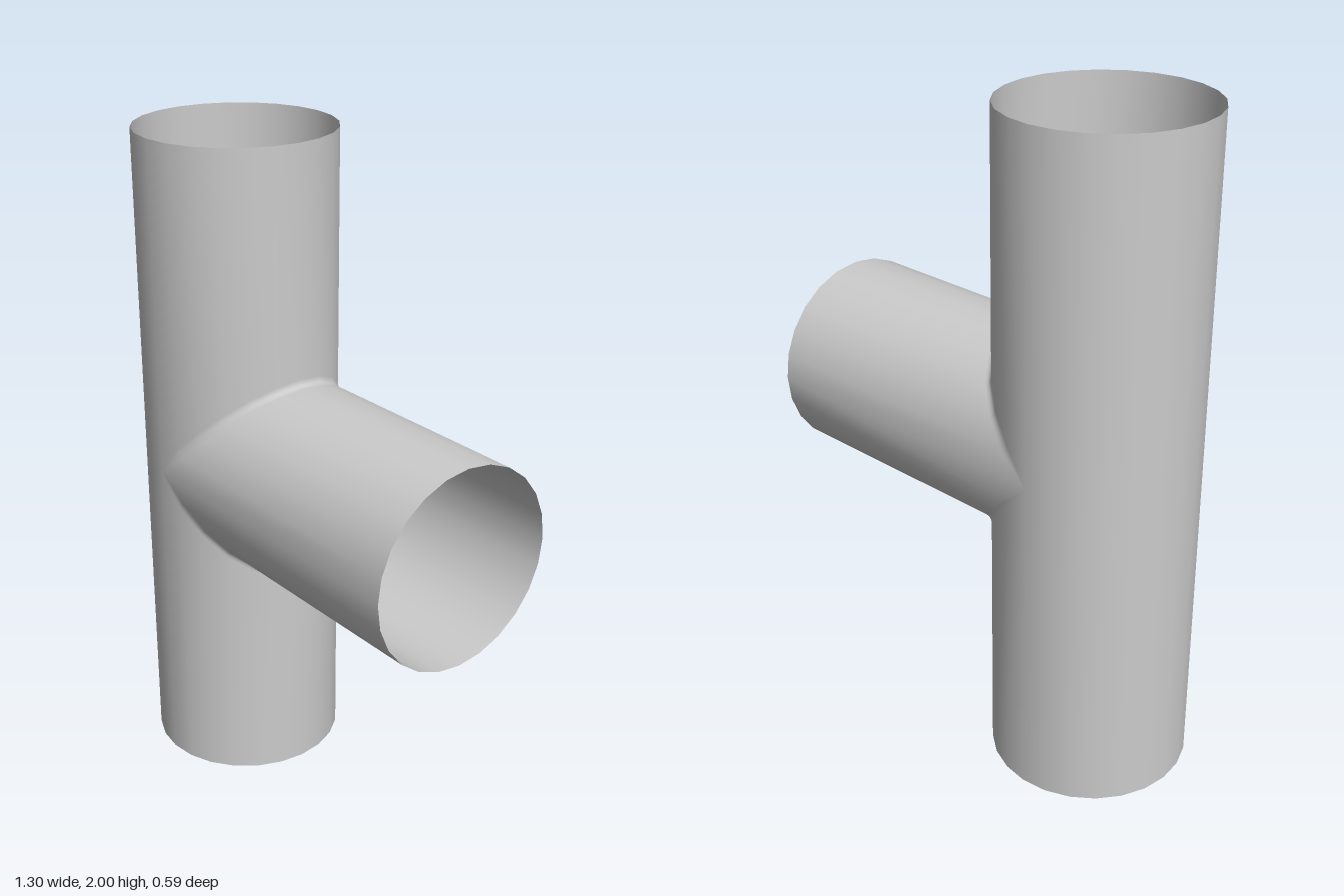
import * as THREE from 'three';
import { mergeGeometries, mergeVertices } from 'three/addons/utils/BufferGeometryUtils.js';

const R = 0.297;       // radius of both pipes
const AXIS_X = -0.352; // axis of the upright pipe
const MID = 1;         // height of the branch axis
const END_X = 0.648;   // open end of the branch
const FILLET = 0.022;  // rounding where the pipes meet
const HALF = 12;       // sides per half turn

// Skins neighbouring columns of points; flip reverses the facing.
function skin(columns, flip = false) {
  const rows = columns[0].length;
  const index = [];
  for (let i = 0; i < columns.length - 1; i++) {
    for (let j = 0; j < rows - 1; j++) {
      const a = i * rows + j, b = a + rows;
      if (flip) index.push(a, a + 1, b, b, a + 1, b + 1);
      else index.push(a, b, a + 1, b, b + 1, a + 1);
    }
  }
  const geometry = new THREE.BufferGeometry().setFromPoints(columns.flat());
  geometry.setIndex(index);
  return geometry;
}

// Columns over half a turn, starting at the given angle.
function halfTurn(start, column) {
  return Array.from({ length: HALF + 1 }, (_, i) => column(start + (Math.PI * i) / HALF));
}

// L-shaped slice at constant z: along the upright pipe, round the fillet, out along the branch.
function elbow(angle, side) {
  const c = Math.max(0, Math.cos(angle)) * R;
  const z = Math.sin(angle) * R;
  const f = Math.min(FILLET, c * 0.3);
  const point = (x, h) => new THREE.Vector3(x, MID + side * h, z);
  const x = AXIS_X + c;
  const bend = new THREE.QuadraticBezierCurve3(point(x, c + f), point(x, c), point(x + f, c));
  return [point(x, 1), ...bend.getPoints(4), point(END_X, c)];
}

export function createModel() {
  const group = new THREE.Group();
  group.name = 'pipeTee';

  // Upper and lower halves of the junction, then the plain back of the upright pipe
  const upper = skin(halfTurn(-Math.PI / 2, (a) => elbow(a, 1)));
  const lower = skin(halfTurn(-Math.PI / 2, (a) => elbow(a, -1)), true);
  const back = skin(halfTurn(Math.PI / 2, (a) => [2, MID, 0].map(
    (y) => new THREE.Vector3(AXIS_X + R * Math.cos(a), y, R * Math.sin(a)))));

  // Weld the seams so the whole tee shades smoothly
  const geometry = mergeVertices(mergeGeometries([upper, lower, back]), 1e-5);
  geometry.computeVertexNormals();

  const material = new THREE.MeshStandardMaterial({ color: 0xcccccc, side: THREE.DoubleSide });
  const tee = new THREE.Mesh(geometry, material);
  tee.name = 'teePipeShell';
  group.add(tee);
  return group;
}
